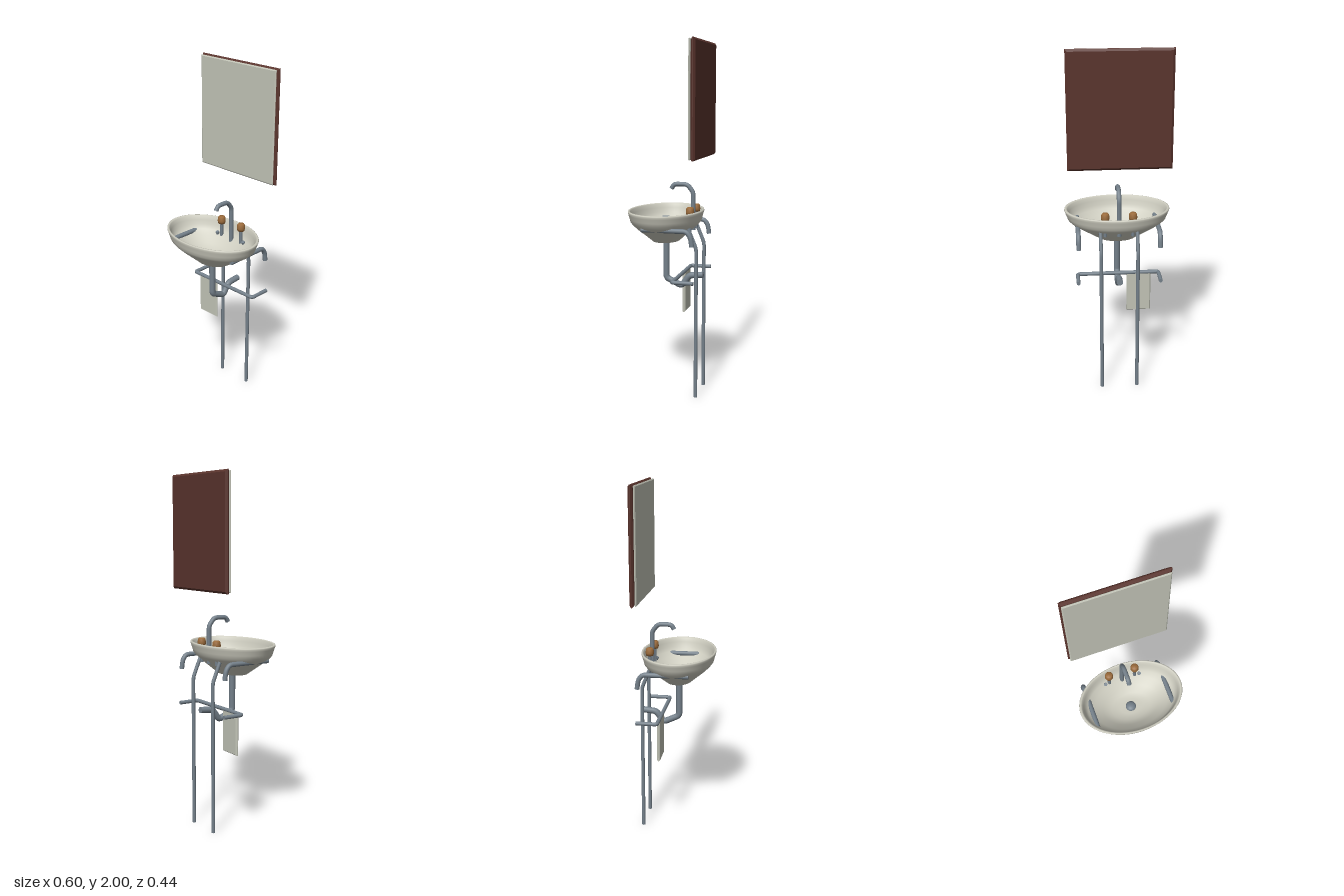
import * as THREE from 'three';
import { mergeGeometries } from 'three/addons/utils/BufferGeometryUtils.js';

const material = (name, color) => {
  const m = new THREE.MeshStandardMaterial({ color });
  m.name = name;
  return m;
};

// Capped pipe through points, with small rounded elbows
function pipeGeometry(points, radius, bend = 0.02) {
  const p = points.map((a) => new THREE.Vector3(...a));
  const path = new THREE.CurvePath();
  let from = p[0];
  for (let i = 1; i < p.length - 1; i++) {
    const toward = (q) => {
      const d = q.clone().sub(p[i]);
      return p[i].clone().addScaledVector(d.clone().normalize(), Math.min(bend, d.length() * 0.45));
    };
    const a = toward(p[i - 1]), b = toward(p[i + 1]);
    path.add(new THREE.LineCurve3(from, a));
    path.add(new THREE.QuadraticBezierCurve3(a, p[i], b));
    from = b;
  }
  path.add(new THREE.LineCurve3(from, p[p.length - 1]));
  const parts = [new THREE.TubeGeometry(path, 80, radius, 14, false)];
  for (const t of [0, 1]) {
    const dir = path.getTangentAt(t).multiplyScalar(t ? 1 : -1);
    const cap = new THREE.CircleGeometry(radius, 14);
    cap.applyQuaternion(new THREE.Quaternion().setFromUnitVectors(new THREE.Vector3(0, 0, 1), dir));
    const end = path.getPointAt(t);
    parts.push(cap.translate(end.x, end.y, end.z));
  }
  return mergeGeometries(parts);
}

// Upright rectangular panel with bevelled edges; w, h and d are overall sizes
function panelGeometry(w, h, d, bevel) {
  const x = w / 2 - bevel, y = h / 2 - bevel;
  const shape = new THREE.Shape([[-x, -y], [x, -y], [x, y], [-x, y]].map((a) => new THREE.Vector2(...a)));
  const t = d * 0.4;
  const g = new THREE.ExtrudeGeometry(shape, {
    depth: d - 2 * t, bevelThickness: t, bevelSize: bevel, bevelSegments: 1,
  });
  return g.translate(0, 0, -(d - 2 * t) / 2);
}

export function createModel() {
  const model = new THREE.Group();
  model.name = 'washbasinWithMirror';
  const ceramic = material('ceramic', 0xcfcec1);
  const glass = material('mirrorGlass', 0xc2c4b7);
  const cloth = material('towelCloth', 0xc2c4b7);
  const wood = material('darkWood', 0x5a342d);
  const steel = material('steel', 0x74808a);
  const brass = material('brass', 0x9c6c3c);

  const add = (name, geometry, mat, x = 0, y = 0, z = 0) => {
    const mesh = new THREE.Mesh(geometry, mat);
    mesh.name = name;
    mesh.position.set(x, y, z);
    model.add(mesh);
    return mesh;
  };

  // Mirror and its backing frame
  add('mirrorFrame', panelGeometry(0.56, 0.64, 0.025, 0.012), wood, 0, 1.68, -0.2075);
  add('mirrorGlass', panelGeometry(0.545, 0.63, 0.011, 0.006), glass, 0, 1.68, -0.187);

  // Oval basin: outside wall, rolled rim, then inside wall
  const profile = [
    [0, 0.885], [0.36, 0.885], [0.38, 0.889], [0.56, 0.923], [0.74, 0.956], [0.87, 0.983],
    [0.93, 1.0], [0.955, 1.02], [0.985, 1.043], [1, 1.054], [0.993, 1.061], [0.965, 1.063],
    [0.94, 1.056], [0.915, 1.035], [0.89, 1.01], [0.84, 0.985], [0.72, 0.96], [0.55, 0.927],
    [0.38, 0.902], [0.2, 0.897], [0, 0.896],
  ].map((a) => new THREE.Vector2(...a));
  add('basin', new THREE.LatheGeometry(profile, 56).scale(0.3, 1, 0.211), ceramic, 0, 0, 0.006);
  add('drainPlug', new THREE.SphereGeometry(0.03, 24, 12).scale(1, 0.6, 1), steel, 0, 0.9, 0.005);

  // Swan-neck tap
  add('tapSpout', pipeGeometry([
    [0, 0.95, -0.15], [0, 1.165, -0.15], [0, 1.208, -0.115], [0, 1.208, -0.04], [0, 1.182, -0.024],
  ], 0.013), steel);

  // Waste pipe with trap
  add('wastePipe', pipeGeometry([
    [0, 0.89, 0.006], [0, 0.665, 0.006], [0, 0.622, -0.085], [0, 0.685, -0.13], [0, 0.692, -0.21],
  ], 0.018), steel);

  const knob = [[0, 0], [0.02, 0], [0.024, 0.015], [0.022, 0.035], [0.017, 0.043], [0, 0.045]]
    .map((a) => new THREE.Vector2(...a));
  for (const [side, s] of [['left', 1], ['right', -1]]) {
    // Tap handle on its stem
    add(side + 'TapKnob', new THREE.LatheGeometry(knob, 20), brass, s * 0.077, 1.045, -0.15);
    add(side + 'TapStem', new THREE.CylinderGeometry(0.01, 0.01, 0.1, 12), steel, s * 0.077, 1.0, -0.15);
    // Leg bent forward into the basin
    add(side + 'Leg', pipeGeometry([
      [s * 0.103, 0, -0.192], [s * 0.103, 0.86, -0.192], [s * 0.103, 0.985, -0.14],
    ], 0.0105), steel);
    // Side bracket
    add(side + 'Bracket', pipeGeometry([
      [s * 0.227, 0.976, 0.09], [s * 0.227, 0.976, -0.165],
      [s * 0.227, 0.945, -0.188], [s * 0.227, 0.893, -0.195],
    ], 0.0135), steel);
  }

  // Towel rail and hanging towel
  add('towelRail', pipeGeometry([
    [-0.232, 0.692, -0.205], [-0.232, 0.692, -0.085], [0.232, 0.692, -0.085], [0.232, 0.692, -0.205],
  ], 0.011, 0.012), steel);
  add('towel', panelGeometry(0.14, 0.245, 0.018, 0.006), cloth, -0.118, 0.573, -0.085);

  return model;
}
